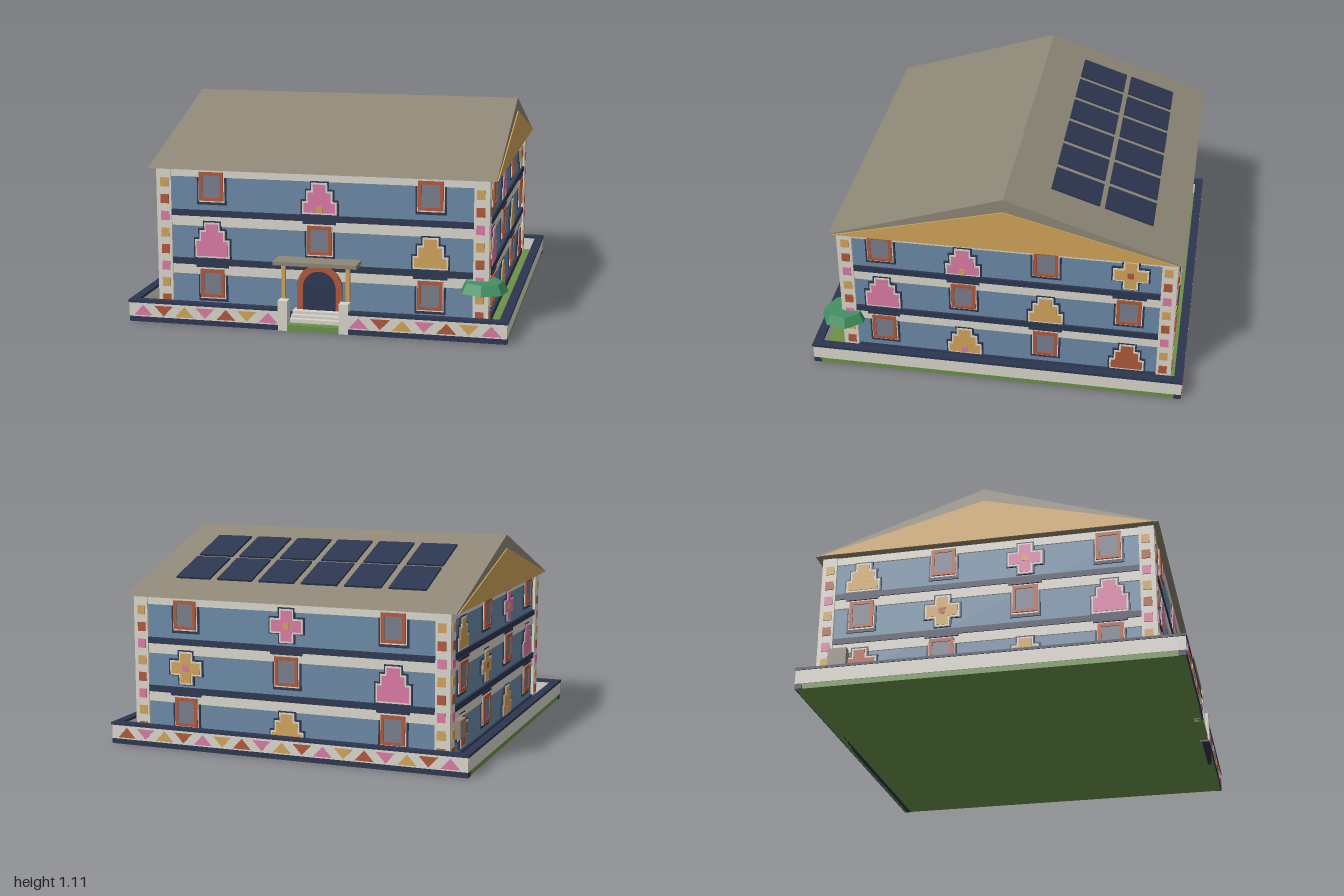
import * as THREE from 'three';

const mat = (name, color) => {
  const m = new THREE.MeshStandardMaterial({ color });
  m.name = name;
  return m;
};
const M = {
  blue: mat('wall blue', 0x6a89a5),
  white: mat('off white', 0xd8d5cb),
  navy: mat('navy', 0x2c3650),
  roof: mat('roof grey', 0x8e8777),
  red: mat('terracotta', 0xb0583a),
  pink: mat('pink', 0xd97aa3),
  tan: mat('ochre', 0xd0a35a),
  grass: mat('grass green', 0x6a9148),
  leaf: mat('leaf green', 0x419162),
  glass: mat('window grey', 0x777d8b),
};

function add(parent, name, geo, m, x = 0, y = 0, z = 0) {
  const mesh = new THREE.Mesh(geo, m);
  mesh.name = name;
  mesh.position.set(x, y, z);
  parent.add(mesh);
  return mesh;
}
// Box given by its limits on each axis
function box(parent, name, m, [x0, x1], [y0, y1], [z0, z1]) {
  return add(parent, name, new THREE.BoxGeometry(x1 - x0, y1 - y0, z1 - z0), m,
    (x0 + x1) / 2, (y0 + y1) / 2, (z0 + z1) / 2);
}
function extrude(points, depth) {
  const shape = new THREE.Shape(points.map(([x, y]) => new THREE.Vector2(x, y)));
  return new THREE.ExtrudeGeometry(shape, { depth, bevelEnabled: false });
}
function group(parent, name) {
  const g = new THREE.Group();
  g.name = name;
  parent.add(g);
  return g;
}

const HX = 0.865, HZ = 0.875, ZC = -0.04; // wall half sizes and house centre
const FLOORS = [0.06, 0.32, 0.58];        // bottom of each blue storey

// Window: navy and white surround, terracotta frame, grey pane
function windowUnit(face, x, floor) {
  const w = group(face, 'window');
  w.position.set(x, FLOORS[floor] + 0.205, 0); // top of the frame
  box(w, 'surround', M.navy, [-0.08, 0.08], [-0.175, 0], [0, 0.006]);
  box(w, 'trim', M.white, [-0.07, 0.07], [-0.16, 0], [0, 0.01]);
  box(w, 'pane', M.glass, [-0.05, 0.05], [-0.14, -0.015], [0.008, 0.013]);
  for (const s of [-1, 1]) box(w, 'frameSide', M.red, s < 0 ? [-0.065, -0.047] : [0.047, 0.065], [-0.152, 0], [0, 0.018]);
  box(w, 'frameTop', M.red, [-0.047, 0.047], [-0.018, 0], [0, 0.018]);
  box(w, 'frameSill', M.red, [-0.047, 0.047], [-0.152, -0.136], [0, 0.018]);
  if (floor < 2) box(w, 'lintel', M.navy, [-0.088, 0.088], [0.01, 0.026], [0, 0.016]);
}

// Stepped motif made of rectangles [halfWidth, y0, y1], outlined in white and navy
const MOTIFS = {
  step: [[0.083, 0.015, 0.065], [0.06, 0.06, 0.12], [0.033, 0.11, 0.163]],
  tall: [[0.085, 0.015, 0.095], [0.06, 0.09, 0.145], [0.033, 0.14, 0.187]],
  cross: [[0.083, 0.065, 0.125], [0.03, 0.016, 0.174]],
};
function motif(face, x, floor, kind, color, accent) {
  const g = group(face, kind + 'Motif');
  g.position.set(x, FLOORS[floor] + (kind === 'cross' ? 0.01 : 0), 0);
  const layers = [['outline', M.navy, 0.017, 0.009], ['border', M.white, 0.009, 0.012], ['fill', M[color], 0, 0.015]];
  layers.forEach(([n, m, e, d]) => MOTIFS[kind].forEach(([hw, y0, y1], i) =>
    box(g, n, m, [-hw - e, hw + e], [y0 - Math.min(e, 0.013), y1 + e], [0, d + i * 0.0002])));
  if (!accent) return;
  const y = kind === 'cross' ? 0.095 : 0.032;
  box(g, 'accent', M[accent], [-0.017, 0.017], [y - 0.017, y + 0.017], [0.01, 0.018]);
}

// One wall face; z points outwards. Cells: column, floor, motif kind, colour, accent; the rest alternate as windows
function facade(house, name, half, dist, angle, columns, motifs, windows) {
  const f = group(house, name);
  f.rotation.y = angle;
  f.position.set(Math.sin(angle) * dist, 0, ZC + Math.cos(angle) * dist);
  const e = half - 0.065;
  for (const [y0, y1] of [[0.235, 0.287], [0.495, 0.548], [0.757, 0.8]])
    box(f, 'whiteBand', M.white, [-e, e], [y0, y1], [0, 0.008]);
  for (const [y0, y1] of [[0.03, 0.06], [0.287, 0.32], [0.548, 0.58]])
    box(f, 'navyBand', M.navy, [-e, e], [y0, y1], [0, 0.013]);
  for (const [c, fl] of windows) windowUnit(f, columns[c], fl);
  for (const [c, fl, ...rest] of motifs) motif(f, columns[c], fl, ...rest);
  // Mosaic tiles on the corner pilasters
  for (const s of [-1, 1]) for (let i = 0; i < 8; i++) {
    const x = s * (half - 0.03), y = 0.725 - i * 0.09;
    box(f, 'mosaicTile', [M.tan, M.red, M.pink][i % 3], [x - 0.022, x + 0.022], [y - 0.024, y + 0.024], [0.01, 0.02]);
  }
}

// Row of alternating triangles along a garden wall
function triangles(parent, x0, count, flip) {
  for (let i = 0; i < count; i++) {
    const up = i % 2 === 0;
    const pts = up ? [[-0.05, 0.036], [0.05, 0.036], [0, 0.09]] : [[-0.05, 0.09], [0, 0.036], [0.05, 0.09]];
    const t = add(parent, 'wallTriangle', extrude(pts, 0.006), [M.pink, M.red, M.tan][i % 3], x0 + i * 0.113, 0, flip * 0.992);
    if (flip < 0) t.rotation.y = Math.PI;
  }
}

export function createModel() {
  const model = new THREE.Group();
  model.name = 'house';

  // Ground and garden wall
  box(model, 'ground', M.grass, [-0.99, 0.99], [0, 0.03], [-0.99, 0.99]);
  const garden = group(model, 'gardenWall');
  const run = (xs, zs, base) => {
    box(garden, 'wall', M.white, xs, [0.028, 0.103], zs);
    const grow = ([a, b]) => [a - 0.004, b + 0.004];
    box(garden, 'wallCap', M.navy, grow(xs), [0.102, 0.116], grow(zs));
    if (base) box(garden, 'wallBase', M.navy, xs, [0, 0.028], zs);
  };
  run([-0.994, -0.16], [0.955, 0.994], true);
  run([0.16, 0.994], [0.955, 0.994], true);
  run([-0.994, 0.994], [-0.994, -0.955], true);
  for (const s of [-1, 1]) run(s < 0 ? [-0.994, -0.955] : [0.955, 0.994], [-0.955, 0.955], false);
  triangles(garden, -0.917, 7, 1);
  triangles(garden, 0.237, 7, 1);
  triangles(garden, -0.904, 17, -1);
  for (const s of [-1, 1]) {
    const x = s * 0.16;
    box(garden, 'gatePost', M.white, [x - 0.025, x + 0.025], [0, 0.158], [0.945, 0.999]);
  }

  // House body and corner pilasters
  const house = group(model, 'building');
  box(house, 'walls', M.blue, [-HX, HX], [0.03, 0.8], [ZC - HZ, ZC + HZ]);
  for (const sx of [-1, 1]) for (const sz of [-1, 1])
    add(house, 'pilaster', new THREE.BoxGeometry(0.08, 0.77, 0.08), M.white, sx * 0.84, 0.415, ZC + sz * 0.85);

  const three = [-0.58, 0, 0.58], four = [-0.66, -0.222, 0.215, 0.652];
  facade(house, 'frontFace', HX, HZ, 0, three,
    [[1, 2, 'step', 'pink', 'tan'], [0, 1, 'tall', 'pink'], [2, 1, 'step', 'tan']],
    [[0, 2], [2, 2], [1, 1], [0, 0], [2, 0]]);
  facade(house, 'backFace', HX, HZ, Math.PI, three,
    [[1, 2, 'cross', 'pink', 'tan'], [0, 1, 'cross', 'tan', 'pink'], [2, 1, 'tall', 'pink'], [1, 0, 'step', 'tan', 'pink']],
    [[0, 2], [2, 2], [1, 1], [0, 0], [2, 0]]);
  facade(house, 'leftFace', HZ, HX, Math.PI / 2, four,
    [[1, 2, 'step', 'pink', 'tan'], [3, 2, 'cross', 'tan', 'red'], [0, 1, 'tall', 'pink'], [2, 1, 'step', 'tan'],
      [1, 0, 'step', 'tan', 'pink'], [3, 0, 'step', 'red']],
    [[0, 2], [2, 2], [1, 1], [3, 1], [0, 0], [2, 0]]);
  facade(house, 'rightFace', HZ, HX, -Math.PI / 2, four,
    [[0, 2, 'step', 'tan'], [2, 2, 'cross', 'pink', 'tan'], [1, 1, 'cross', 'tan', 'red'], [3, 1, 'tall', 'pink'],
      [0, 0, 'cross', 'red'], [2, 0, 'step', 'tan', 'pink']],
    [[1, 2], [3, 2], [0, 1], [2, 1], [1, 0], [3, 0]]);
  box(house, 'wallUnit', M.roof, [-0.912, -0.86], [0.155, 0.25], [-0.86, -0.76]);

  // Gabled roof with ochre gable plates
  const roof = group(house, 'roof');
  const prism = (name, half, y1, x0, x1, m) => {
    const p = add(roof, name, extrude([[-half, 0.8], [half, 0.8], [0, y1]], x1 - x0), m, x0, 0, ZC);
    p.rotation.y = Math.PI / 2;
  };
  prism('roofPrism', 0.92, 1.105, -0.915, 0.915, M.roof);
  prism('gablePlate', 0.895, 1.032, 0.915, 0.921, M.tan);
  prism('gablePlate', 0.895, 1.032, -0.921, -0.915, M.tan);

  // Solar panels hovering parallel to the back slope
  const slope = 0.305 / 0.92;
  for (const z of [-0.657, -0.38]) for (let i = 0; i < 6; i++) {
    const y = 1.105 + slope * (z - ZC) + 0.028;
    const p = add(roof, 'solarPanel', new THREE.BoxGeometry(0.2, 0.01, 0.264), M.navy, -0.603 + i * 0.241, y, z);
    p.rotation.x = -Math.atan(slope);
  }

  // Arched doorway, steps and canopy
  const entrance = group(model, 'entrance');
  const arch = (name, r, y, depth, m) => {
    const s = new THREE.Shape();
    s.moveTo(-r, 0.03);
    s.lineTo(r, 0.03);
    s.lineTo(r, y);
    s.absarc(0, y, r, 0, Math.PI);
    s.lineTo(-r, 0.03);
    add(entrance, name, new THREE.ExtrudeGeometry(s, { depth, bevelEnabled: false, curveSegments: 16 }), m, 0, 0, ZC + HZ);
  };
  arch('doorArch', 0.12, 0.2, 0.022, M.red);
  arch('door', 0.086, 0.2, 0.026, M.navy);
  [[0.05, 0.945], [0.065, 0.92], [0.08, 0.895]].forEach(([y, z]) =>
    box(entrance, 'step', M.white, [-0.135, 0.135], [0.03, y], [0.83, z]));
  box(entrance, 'canopy', M.roof, [-0.22, 0.22], [0.335, 0.355], [0.835, 0.965]);
  for (const s of [-1, 1])
    add(entrance, 'canopyPost', new THREE.BoxGeometry(0.02, 0.305, 0.02), M.tan, s * 0.17, 0.1825, 0.93);

  // Faceted shrub crown at the front corner
  const crown = new THREE.CylinderGeometry(0.1, 0.127, 0.052, 7).toNonIndexed();
  crown.computeVertexNormals();
  add(model, 'shrub', crown, M.leaf, 0.855, 0.255, 0.842);

  return model;
}
